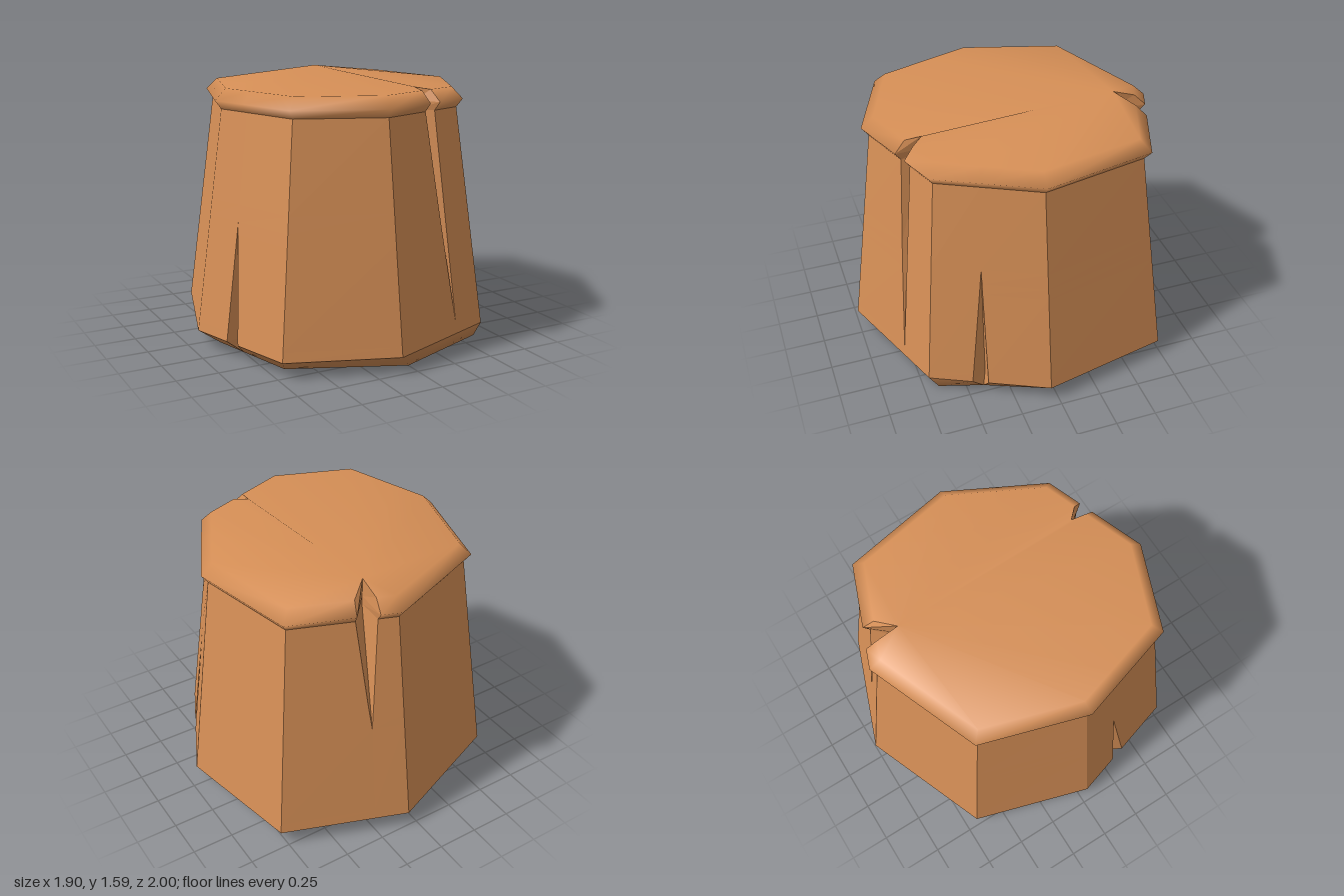
import * as THREE from 'three';
import { mergeVertices } from 'three/addons/utils/BufferGeometryUtils.js';

// Eight corners [x, z] of each level, starting at the front and going towards +x
const FOOT = [[0, 0.9], [0.62, 0.66], [0.81, 0.05], [0.66, -0.6], [0.05, -0.8], [-0.6, -0.57], [-0.81, 0.05], [-0.65, 0.62]];
const WIDE = [[-0.1, 1], [0.63, 0.72], [0.95, 0.05], [0.79, -0.73], [0.06, -1], [-0.73, -0.68], [-0.95, 0.05], [-0.73, 0.77]];
const NECK = [[-0.1, 0.82], [0.49, 0.6], [0.77, 0.05], [0.64, -0.59], [0.06, -0.81], [-0.59, -0.55], [-0.77, 0.05], [-0.59, 0.63]];
const Y_WIDE = 0.1, Y_NECK = 1.42;

// Wedge cracks by side: pointed end (height, place along side), mouth height, mouth lips, deepest point
const CRACKS = {
  0: { y: 0.16, t: 0.67, mouth: Y_NECK, lips: [0.525, 0.66], deep: [0.21, 0.58], topY: 1.55 },
  1: { y: 0.9, t: 0.43, mouth: Y_WIDE, lips: [0.36, 0.49], deep: [0.68, 0.38] },
  3: { y: 0.73, t: 0.73, mouth: Y_NECK, lips: [0.61, 0.81], deep: [0.16, -0.6], topY: 1.585 },
  6: { y: 0.8, t: 0.38, mouth: Y_WIDE, lips: [0.36, 0.49], deep: [-0.78, 0.29] },
};

const { lerp, clamp } = THREE.MathUtils;
const mix = (a, b, t) => [lerp(a[0], b[0], t), lerp(a[1], b[1], t)];
const scaled = (ring, s) => ring.map(([x, z]) => [x * s, z * s]);
const bodyCorners = (y) => NECK.map((n, i) => mix(WIDE[i], n, (y - Y_WIDE) / (Y_NECK - Y_WIDE)));

// One horizontal ring: corners plus lip, deepest point and lip of every crack
function makeRing(corners, y, isTop = false) {
  const ring = [];
  corners.forEach((c, i) => {
    const next = corners[(i + 1) % 8];
    ring.push({ p: [c[0], y, c[1]] });
    const k = CRACKS[i];
    if (!k) return;
    const open = y < Y_WIDE ? 0 : clamp((y - k.y) / (k.mouth - k.y), 0, 1);
    const tip = bodyCorners(k.y);
    const tipPoint = mix(tip[i], tip[(i + 1) % 8], k.t);
    const lips = k.lips.map((t) => mix(c, next, lerp(k.t, t, open)));
    const deep = open > 0 ? mix(tipPoint, k.deep, open) : lips[0];
    ring.push({ p: [lips[0][0], y, lips[0][1]], wall: true });
    ring.push({ p: [deep[0], isTop && k.topY ? k.topY : y, deep[1]], wall: true, side: i });
    ring.push({ p: [lips[1][0], y, lips[1][1]] });
  });
  return ring;
}

// Adds a triangle unless it has collapsed
function addTriangle(out, a, b, c) {
  const [A, B, C] = [a, b, c].map((q) => new THREE.Vector3(...q));
  if (B.sub(A).cross(C.sub(A)).length() > 1e-7) out.push(...a, ...b, ...c);
}

// Joins stacked rings, keeping crack walls apart from the outer skin
function joinRings(rings, skin, walls) {
  for (let r = 0; r + 1 < rings.length; r++) {
    const lo = rings[r], hi = rings[r + 1];
    lo.forEach((v, i) => {
      const j = (i + 1) % lo.length;
      const out = v.wall ? walls : skin;
      addTriangle(out, v.p, lo[j].p, hi[j].p);
      addTriangle(out, v.p, hi[j].p, hi[i].p);
    });
  }
}

function makeMesh(name, positions, material, smooth) {
  let geometry = new THREE.BufferGeometry();
  geometry.setAttribute('position', new THREE.Float32BufferAttribute(positions, 3));
  if (smooth) geometry = mergeVertices(geometry, 1e-4);
  geometry.computeVertexNormals();
  const mesh = new THREE.Mesh(geometry, material);
  mesh.name = name;
  return mesh;
}

export function createModel() {
  const wood = new THREE.MeshStandardMaterial({ color: 0xd68f56 });
  wood.name = 'warm wood';
  const group = new THREE.Group();
  group.name = 'treeStump';
  const trunk = [], base = [], cap = [], walls = [];

  // Tapered trunk with flat sides
  const levels = [Y_WIDE, 0.16, 0.73, 0.8, 0.9, Y_NECK];
  joinRings(levels.map((y) => makeRing(bodyCorners(y), y)), trunk, walls);

  // Bevelled foot and underside
  const foot = makeRing(FOOT, 0);
  joinRings([foot, makeRing(WIDE, Y_WIDE)], base, walls);
  foot.forEach((v, i) => addTriangle(base, [0, 0, 0], foot[(i + 1) % foot.length].p, v.p));

  // Soft overhanging cap, its top rising towards the back crack
  const top = makeRing(scaled(NECK, 0.96), 1.538, true);
  joinRings([makeRing(NECK, Y_NECK), makeRing(scaled(NECK, 1.05), 1.47), top], cap, walls);
  const peak = top.findIndex((v) => v.side === 3);
  for (let s = 1; s + 1 < top.length; s++) {
    addTriangle(cap, top[peak].p, top[(peak + s) % top.length].p, top[(peak + s + 1) % top.length].p);
  }

  group.add(
    makeMesh('trunk', trunk, wood, false),
    makeMesh('base', base, wood, true),
    makeMesh('cap', cap, wood, true),
    makeMesh('crackWalls', walls, wood, false),
  );
  return group;
}
